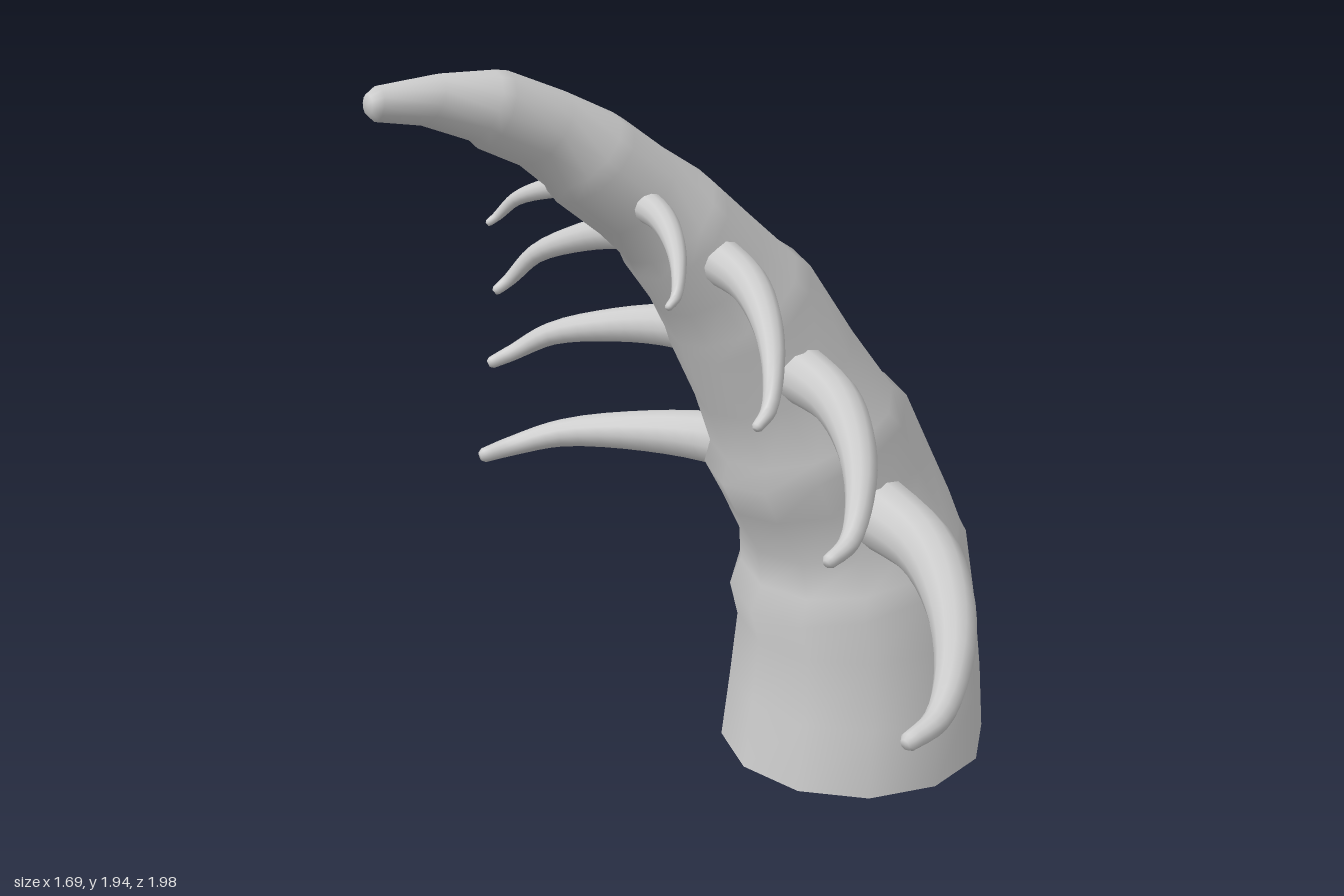
import * as THREE from 'three';

const material = new THREE.MeshStandardMaterial({ color: 0xcccccc, side: THREE.DoubleSide });

// Skin a list of elliptical rings {c, u, v}; u x v points along the path
function loft(name, rings, sides, capStart) {
  const pos = [], index = [];
  for (const { c, u, v } of rings) {
    for (let k = 0; k < sides; k++) {
      const a = (k / sides) * Math.PI * 2;
      const p = c.clone().addScaledVector(u, Math.cos(a)).addScaledVector(v, Math.sin(a));
      pos.push(p.x, p.y, p.z);
    }
  }
  for (let i = 0; i < rings.length - 1; i++) {
    for (let k = 0; k < sides; k++) {
      const n = (k + 1) % sides, a = i * sides, b = a + sides;
      index.push(a + k, a + n, b + n, a + k, b + n, b + k);
    }
  }
  // Closing fans
  const cap = (ring, flip) => {
    const centre = pos.length / 3, base = ring * sides;
    pos.push(...rings[ring].c.toArray());
    for (let k = 0; k < sides; k++) {
      const a = base + k, b = base + ((k + 1) % sides);
      index.push(centre, flip ? b : a, flip ? a : b);
    }
  };
  cap(rings.length - 1, false);
  if (capStart) cap(0, true);
  const g = new THREE.BufferGeometry();
  g.setAttribute('position', new THREE.Float32BufferAttribute(pos, 3));
  g.setIndex(index);
  g.computeVertexNormals();
  const mesh = new THREE.Mesh(g, material);
  mesh.name = name;
  return mesh;
}

// Trunk rings: outer edge x, y, inner edge x, y, half width in z
const TRUNK = [
  [0.84, 0.015, 0.11, 0.015, 0.36],
  [0.825, 0.2, 0.135, 0.2, 0.345],
  [0.8, 0.4, 0.155, 0.38, 0.325],
  [0.755, 0.63, 0.13, 0.47, 0.32],
  [0.735, 0.665, 0.16, 0.54, 0.3],
  [0.7, 0.75, 0.15, 0.64, 0.28],
  [0.63, 0.9, 0.085, 0.76, 0.25],
  [0.545, 1.05, 0.04, 0.85, 0.27],
  [0.5, 1.08, 0.055, 0.91, 0.25],
  [0.38, 1.24, 0, 1.05, 0.21],
  [0.245, 1.43, -0.07, 1.2, 0.205],
  [0.2, 1.46, -0.085, 1.245, 0.195],
  [0.11, 1.54, -0.13, 1.33, 0.175],
  [0.005, 1.635, -0.2, 1.43, 0.17],
  [-0.03, 1.665, -0.22, 1.47, 0.155],
  [-0.13, 1.73, -0.3, 1.55, 0.135],
  [-0.23, 1.805, -0.41, 1.64, 0.13],
  [-0.26, 1.825, -0.425, 1.67, 0.115],
  [-0.38, 1.885, -0.5, 1.735, 0.1],
  [-0.52, 1.945, -0.6, 1.785, 0.09],
  [-0.55, 1.95, -0.62, 1.805, 0.08],
  [-0.68, 1.955, -0.73, 1.85, 0.06],
  [-0.82, 1.945, -0.835, 1.87, 0.04],
  [-0.845, 1.93, -0.85, 1.885, 0.025],
];

function makeTrunk() {
  const rings = TRUNK.map(([rx, ry, lx, ly, w]) => ({
    c: new THREE.Vector3((rx + lx) / 2, (ry + ly) / 2, 0),
    u: new THREE.Vector3((rx - lx) / 2, (ry - ly) / 2, 0),
    v: new THREE.Vector3(0, 0, -w),
  }));
  return loft('trunk', rings, 12, false);
}

// Shared spine shape: fraction of travel in x, y, z
const SPINE = [[0, 0, 0], [0.06, 0.1, 0.32], [0.28, 0.28, 0.61], [0.6, 0.56, 0.87], [0.83, 0.88, 0.98], [1, 1, 1]];
const TAPER = [1, 0.8, 0.62, 0.42, 0.3, 0.22];

function makeSpine(name, base, tip, radius, side) {
  const curve = new THREE.CatmullRomCurve3(SPINE.map(([x, y, z]) => new THREE.Vector3(
    THREE.MathUtils.lerp(base[0], tip[0], x),
    THREE.MathUtils.lerp(base[1], tip[1], y),
    side * THREE.MathUtils.lerp(base[2], tip[2], z))));
  const up = new THREE.Vector3(0, 1, 0), rings = [], steps = 20;
  for (let i = 0; i <= steps; i++) {
    const t = i / steps, s = t * 5, k = Math.min(4, Math.floor(s));
    const r = radius * THREE.MathUtils.lerp(TAPER[k], TAPER[k + 1], s - k);
    const T = curve.getTangent(t);
    const u = T.clone().cross(up).normalize();
    const v = T.clone().cross(u);
    rings.push({ c: curve.getPoint(t), u: u.multiplyScalar(r), v: v.multiplyScalar(r) });
  }
  // Rounded end
  const last = rings[steps];
  rings.push({
    c: last.c.clone().addScaledVector(curve.getTangent(1), radius * 0.12),
    u: last.u.clone().multiplyScalar(0.6),
    v: last.v.clone().multiplyScalar(0.6),
  });
  return loft(name, rings, 12, true);
}

// Spine pairs from the root upwards: base, tip, radius
const PAIRS = [
  [[0.37, 0.78, 0.18], [-0.14, 0.645, 0.97], 0.096],
  [[0.15, 1.18, 0.13], [-0.205, 1.0, 0.765], 0.075],
  [[-0.06, 1.485, 0.11], [-0.27, 1.26, 0.59], 0.058],
  [[-0.24, 1.635, 0.07], [-0.375, 1.495, 0.41], 0.04],
];

export function createModel() {
  const model = new THREE.Group();
  model.name = 'spinedTentacle';
  model.add(makeTrunk());
  PAIRS.forEach(([base, tip, radius], i) => {
    for (const side of [1, -1]) {
      model.add(makeSpine(`${side > 0 ? 'front' : 'back'}Spine${i + 1}`, base, tip, radius, side));
    }
  });
  return model;
}
